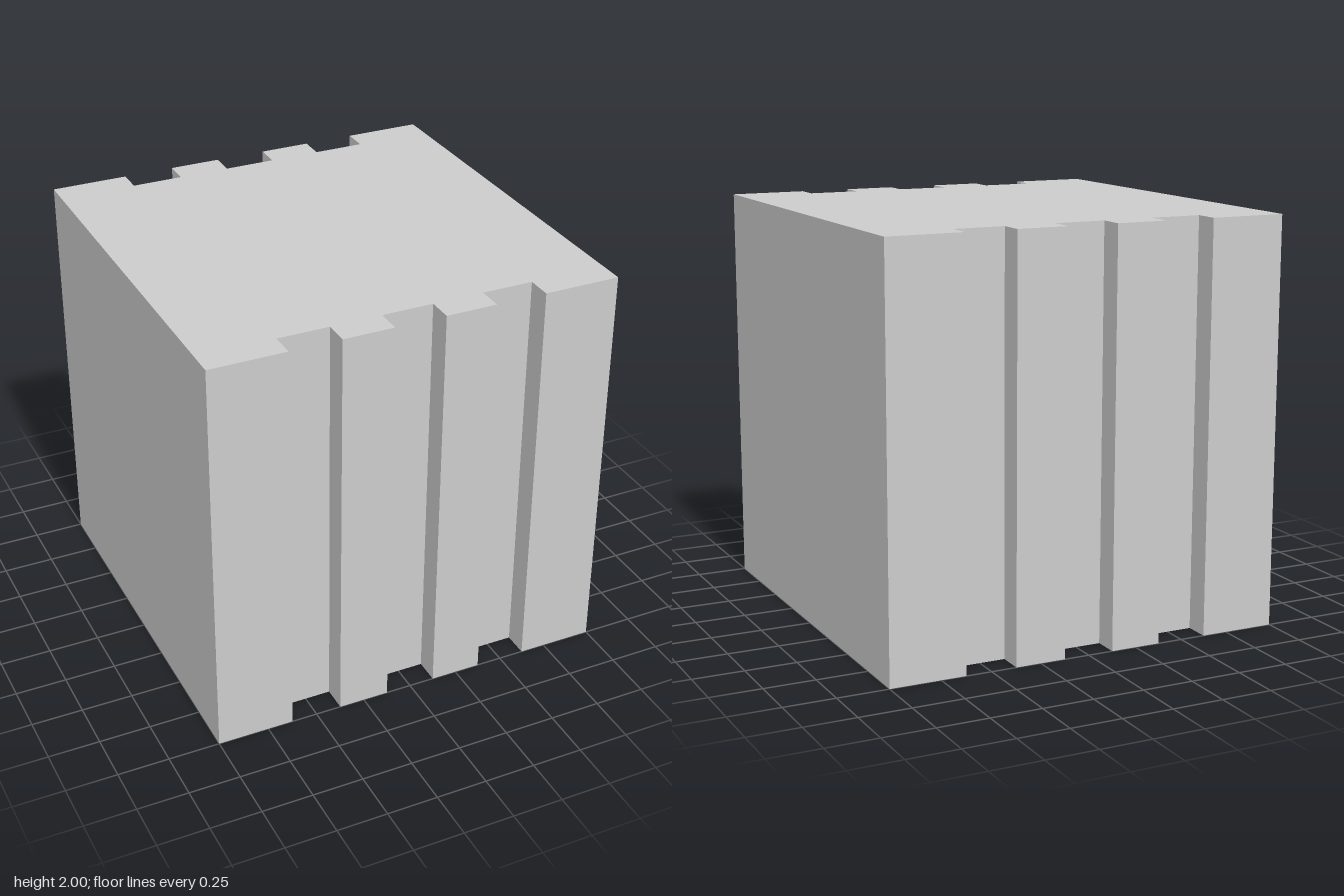
import * as THREE from 'three';

const HALF = 1, HEIGHT = 2;
const GROOVE_CENTRES = [-0.5, 0, 0.5], GROOVE_HALF = 0.125, GROOVE_DEPTH = 0.125;

export function createModel() {
  const group = new THREE.Group();
  group.name = 'groovedBlock';

  // One notched edge, left to right
  const edge = [[-HALF, -HALF]];
  for (const c of GROOVE_CENTRES) {
    const a = c - GROOVE_HALF, b = c + GROOVE_HALF, floor = -HALF + GROOVE_DEPTH;
    edge.push([a, -HALF], [a, floor], [b, floor], [b, -HALF]);
  }
  edge.push([HALF, -HALF]);

  // Full plan: the edge plus the same edge turned half round
  const plan = [...edge, ...edge.map(([x, y]) => [-x, -y])];
  const shape = new THREE.Shape(plan.map(([x, y]) => new THREE.Vector2(x, y)));

  // Extrude the plan upwards from the ground
  const geometry = new THREE.ExtrudeGeometry(shape, { depth: HEIGHT, bevelEnabled: false });
  geometry.rotateX(-Math.PI / 2);

  const block = new THREE.Mesh(
    geometry,
    new THREE.MeshStandardMaterial({ color: 0xcccccc, flatShading: true })
  );
  block.name = 'block';
  group.add(block);
  return group;
}
